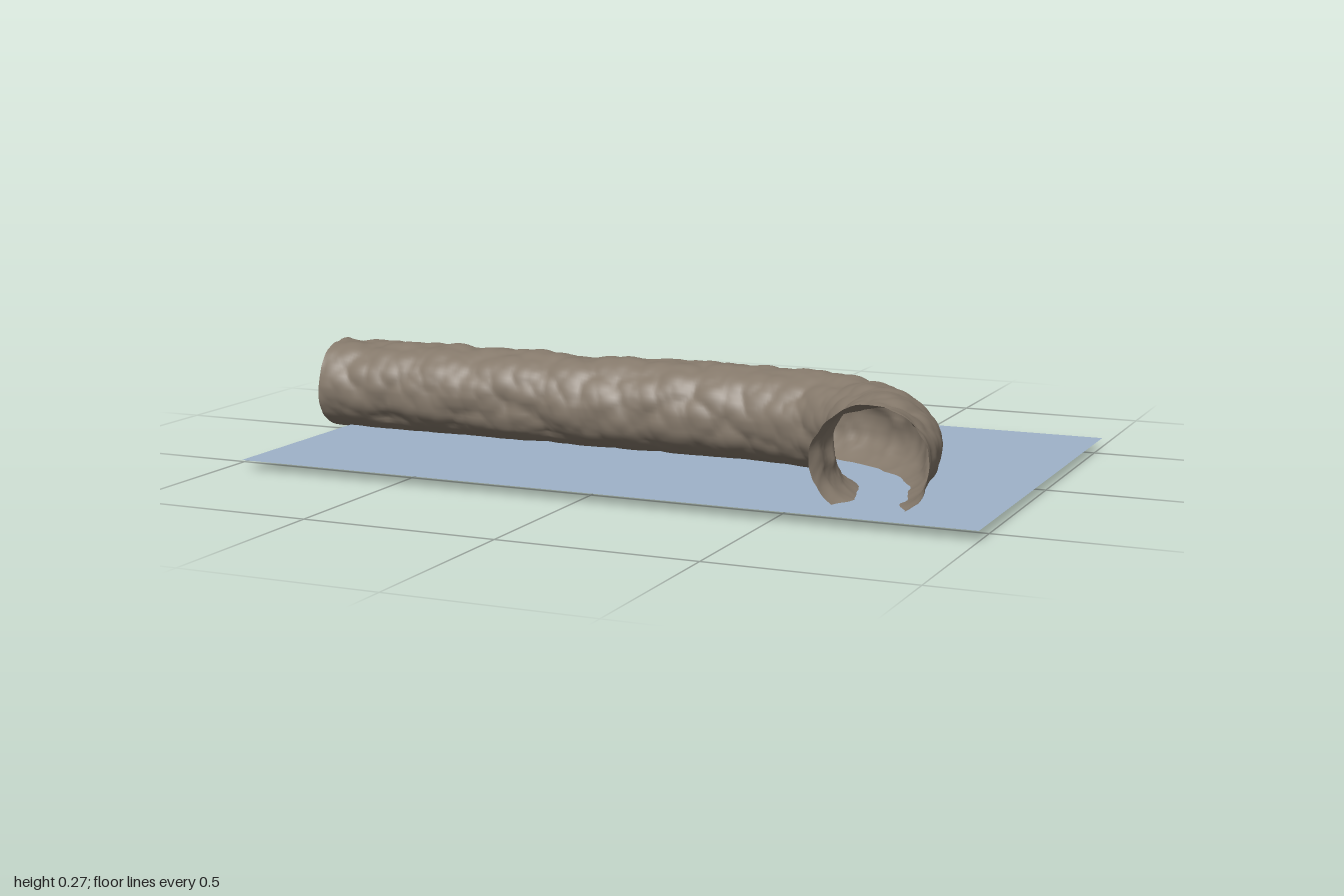
import * as THREE from 'three';

const rock = new THREE.MeshStandardMaterial({ color: 0x85796b, side: THREE.DoubleSide });
rock.name = 'brown rock';
const water = new THREE.MeshStandardMaterial({ color: 0x9fb3c9, side: THREE.DoubleSide });
water.name = 'pale blue water';

// Seeded value in 0..1 for a lattice cell
function hash(x, y, z, k) {
  const s = Math.sin(x * 127.1 + y * 311.7 + z * 74.7 + k * 53.3) * 43758.5453;
  return s - Math.floor(s);
}

// Cellular noise: rounded stones (1 at the middle of a stone) parted by creases
function stones(p, size) {
  const x = p.x / size, y = p.y / size, z = p.z / size;
  const cx = Math.floor(x), cy = Math.floor(y), cz = Math.floor(z);
  let nearest = 9;
  for (let i = cx - 1; i <= cx + 1; i++)
    for (let j = cy - 1; j <= cy + 1; j++)
      for (let k = cz - 1; k <= cz + 1; k++) {
        const dx = i + hash(i, j, k, 1) - x;
        const dy = j + hash(i, j, k, 2) - y;
        const dz = k + hash(i, j, k, 3) - z;
        nearest = Math.min(nearest, dx * dx + dy * dy + dz * dz);
      }
  return 1 - Math.min(nearest, 1);
}

// Open rocky tube: rounded roof, flattened floor, flared at the mouth
function tunnelGeometry() {
  const path = new THREE.CatmullRomCurve3([
    [-1, 0], [-0.6, 0], [-0.2, 0], [0.1, 0], [0.3, 0.005], [0.46, 0.04],
    [0.59, 0.13], [0.665, 0.25], [0.695, 0.37], [0.7, 0.47],
  ].map(([x, z]) => new THREE.Vector3(x, 0.14, z)));
  const rings = 260, sides = 80;
  const up = new THREE.Vector3(0, 1, 0);
  const positions = [], index = [];

  for (let i = 0; i <= rings; i++) {
    const u = i / rings;
    const centre = path.getPointAt(u);
    const tangent = path.getTangentAt(u);
    if (i === 0) tangent.set(1, 0, 0);
    if (i === rings) tangent.set(0, 0, 1);
    const side = new THREE.Vector3().crossVectors(tangent, up).normalize();
    const flare = 0.012 * THREE.MathUtils.smoothstep(u, 0.972, 1);
    for (let j = 0; j < sides; j++) {
      const a = (j / sides) * Math.PI * 2;
      const c = Math.cos(a), s = Math.sin(a);
      const rise = s < 0 ? -Math.pow(-s, 0.8) : s;
      const outward = side.clone().multiplyScalar(c).addScaledVector(up, s);
      const p = centre.clone()
        .addScaledVector(side, 0.134 * c)
        .addScaledVector(up, 0.121 * rise);
      const bump = 0.017 * (stones(p, 0.11) - 0.72) + 0.008 * (stones(p, 0.05) - 0.7);
      p.addScaledVector(outward, bump * (s < -0.6 ? 0.4 : 1) + flare);
      positions.push(p.x, Math.max(p.y, 0), p.z);
    }
  }
  for (let i = 0; i < rings; i++)
    for (let j = 0; j < sides; j++) {
      const a = i * sides + j, b = a + sides;
      const c = i * sides + (j + 1) % sides, d = c + sides;
      index.push(a, b, c, b, d, c);
    }
  const geometry = new THREE.BufferGeometry();
  geometry.setAttribute('position', new THREE.Float32BufferAttribute(positions, 3));
  geometry.setIndex(index);
  geometry.computeVertexNormals();
  return geometry;
}

export function createModel() {
  const model = new THREE.Group();
  model.name = 'flooded tunnel';

  const tunnel = new THREE.Mesh(tunnelGeometry(), rock);
  tunnel.name = 'rock tunnel';
  model.add(tunnel);

  // Flat water sheet just above the tunnel floor
  const sheet = new THREE.Mesh(new THREE.PlaneGeometry(1.95, 1.17).rotateX(-Math.PI / 2), water);
  sheet.name = 'water surface';
  sheet.position.set(0.025, 0.03, 0);
  model.add(sheet);

  return model;
}
